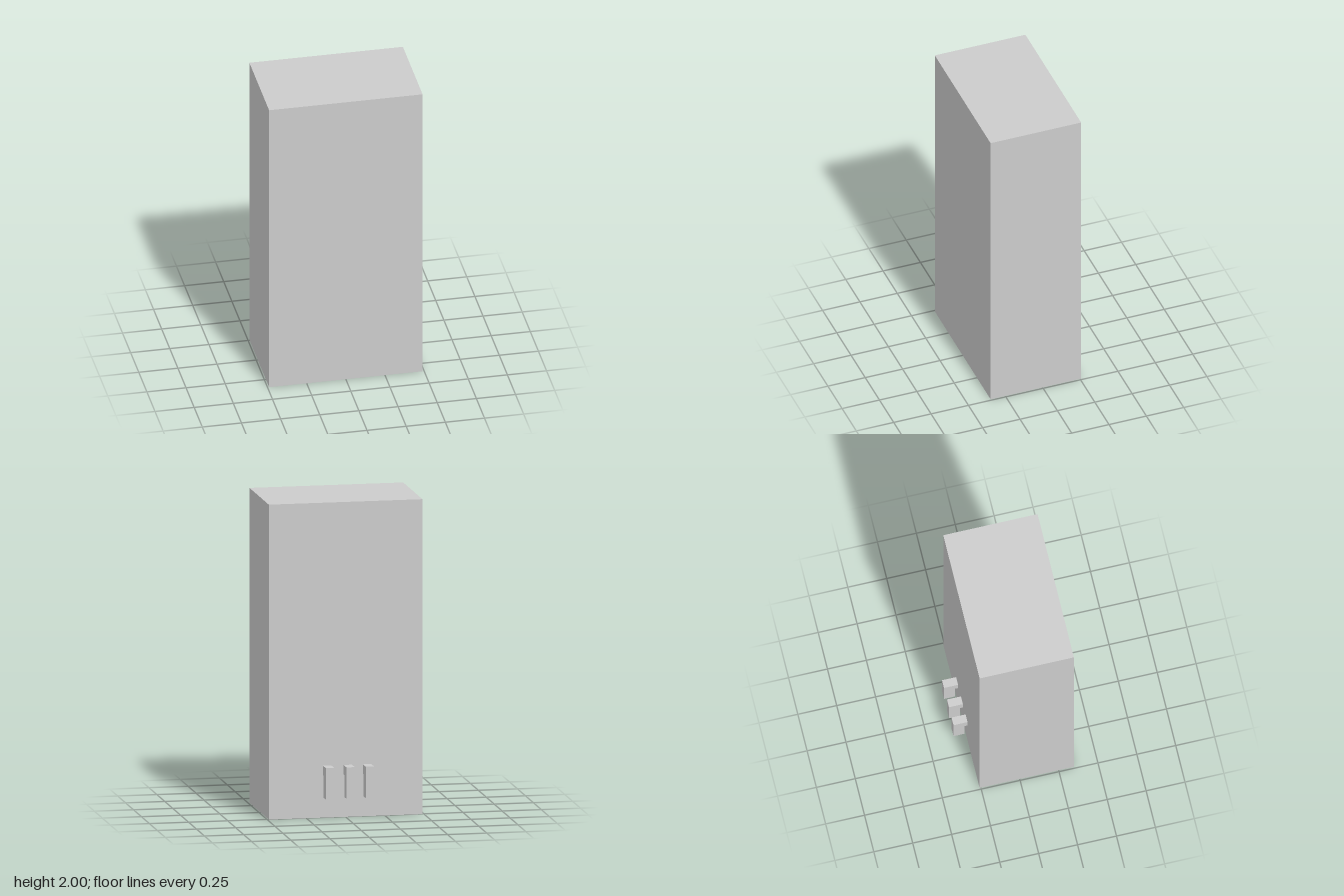
import * as THREE from 'three';

export function createModel() {
  const model = new THREE.Group();
  const material = new THREE.MeshStandardMaterial({ color: 0xcccccc, flatShading: true });
  const front = 0.348, back = -0.258, hookBack = -0.348;

  // Main cabinet block
  const body = new THREE.Mesh(new THREE.BoxGeometry(0.98, 2, front - back), material);
  body.name = 'body';
  body.position.set(0, 1, (front + back) / 2);
  model.add(body);

  // Hook side profile: x is distance behind the body, y is height
  const depth = back - hookBack, gap = 0.019, width = 0.053;
  const profile = new THREE.Shape([
    [0, 0.27], [gap, 0.27], [gap, 0.13], [depth, 0.13], [depth, 0.33], [0, 0.33],
  ].map(([x, y]) => new THREE.Vector2(x, y)));
  const hookGeometry = new THREE.ExtrudeGeometry(profile, { depth: width, bevelEnabled: false });
  hookGeometry.translate(0, 0, -width / 2);
  hookGeometry.rotateY(Math.PI / 2); // profile now runs towards -z

  // Row of three downward hooks on the back
  const hooks = new THREE.Group();
  hooks.name = 'backHooks';
  [-0.137, -0.014, 0.118].forEach((x, i) => {
    const hook = new THREE.Mesh(hookGeometry, material);
    hook.name = `hook${i + 1}`;
    hook.position.set(x, 0, back);
    hooks.add(hook);
  });
  model.add(hooks);

  return model;
}
